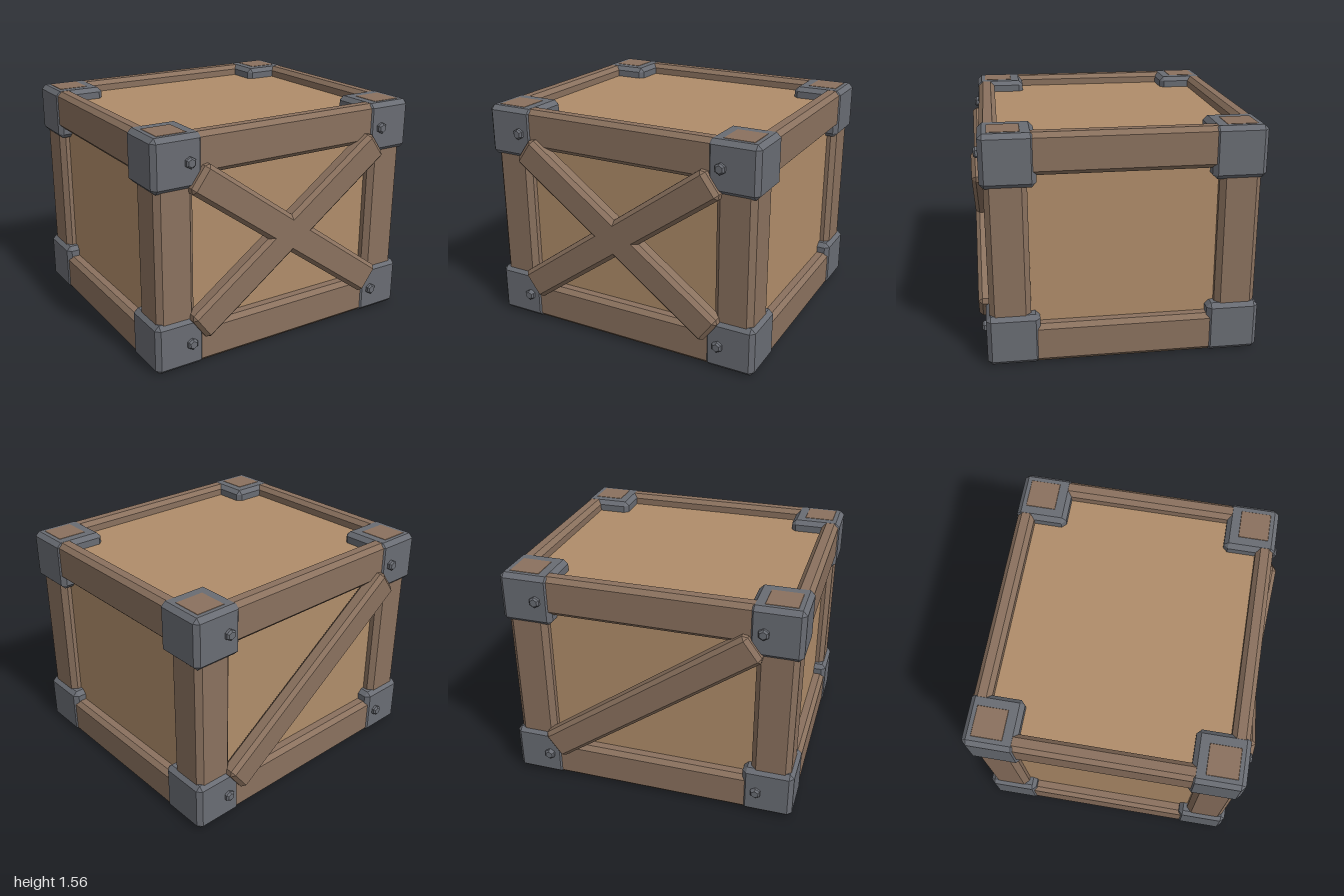
import * as THREE from 'three';
import { ConvexGeometry } from 'three/addons/geometries/ConvexGeometry.js';

const panelMat = new THREE.MeshStandardMaterial({ color: 0xb08d6a, flatShading: true });
const woodMat = new THREE.MeshStandardMaterial({ color: 0x8a715e, flatShading: true });
const metalMat = new THREE.MeshStandardMaterial({ color: 0x696c73, flatShading: true });

// Box with all edges chamfered by c
function chamferBox(w, h, d, c) {
  const pts = [];
  const x = w / 2, y = h / 2, z = d / 2;
  for (const i of [-1, 1]) for (const j of [-1, 1]) for (const k of [-1, 1]) {
    pts.push(new THREE.Vector3(i * x, j * (y - c), k * (z - c)));
    pts.push(new THREE.Vector3(i * (x - c), j * y, k * (z - c)));
    pts.push(new THREE.Vector3(i * (x - c), j * (y - c), k * z));
  }
  return new ConvexGeometry(pts);
}

export function createModel() {
  const root = new THREE.Group();
  const H = 1.56, MID = H / 2;

  function add(name, geo, mat, x, y, z, rotZ = 0) {
    const mesh = new THREE.Mesh(geo, mat);
    mesh.name = name;
    mesh.position.set(x, y, z);
    mesh.rotation.z = rotZ;
    root.add(mesh);
    return mesh;
  }

  // Recessed plain box behind the frame
  add('panels', new THREE.BoxGeometry(1.82, 1.4, 1.62), panelMat, 0, MID, 0);

  // Shared shapes
  const post = chamferBox(0.27, H, 0.27, 0.035);
  const beamX = chamferBox(1.7, 0.27, 0.118, 0.03);
  const beamZ = chamferBox(0.118, 0.27, 1.5, 0.03);
  const bracket = chamferBox(0.35, 0.345, 0.35, 0.03);
  const brace = chamferBox(1.74, 0.215, 0.12, 0.027);
  const boltHead = new THREE.CylinderGeometry(0.026, 0.038, 0.012, 6).translate(0, 0.024, 0);
  const boltBase = new THREE.CylinderGeometry(0.038, 0.038, 0.026, 6).translate(0, 0.005, 0);

  // Corner posts, their end grain just proud of the brackets
  for (const sx of [-1, 1]) for (const sz of [-1, 1]) {
    add('cornerPost', post, woodMat, sx * 0.839, MID, sz * 0.745);
  }

  for (const sy of [-1, 1]) {
    for (const s of [-1, 1]) {
      // Horizontal frame beams
      add('longBeam', beamX, woodMat, 0, MID + sy * 0.642, s * 0.834);
      add('sideBeam', beamZ, woodMat, s * 0.932, MID + sy * 0.642, 0);
    }
    for (const sx of [-1, 1]) for (const sz of [-1, 1]) {
      // Metal corner brackets
      add('cornerBracket', bracket, metalMat, sx * 0.825, MID + sy * 0.6055, sz * 0.728);
      // Hexagonal bolts on the front and back
      const bolt = new THREE.Group();
      bolt.name = 'bolt';
      bolt.add(new THREE.Mesh(boltBase, metalMat), new THREE.Mesh(boltHead, metalMat));
      bolt.position.set(sx * 0.75, MID + sy * 0.607, sz * 0.902);
      bolt.rotation.x = sz * Math.PI / 2;
      root.add(bolt);
    }
  }

  // Crossed braces on the front, a single brace on the back
  const tilt = 0.627;
  add('frontBrace', brace, woodMat, 0, MID, 0.89, tilt);
  add('frontBrace', brace, woodMat, 0, MID, 0.89, -tilt);
  add('backBrace', brace, woodMat, 0, MID, -0.89, -tilt);

  return root;
}
